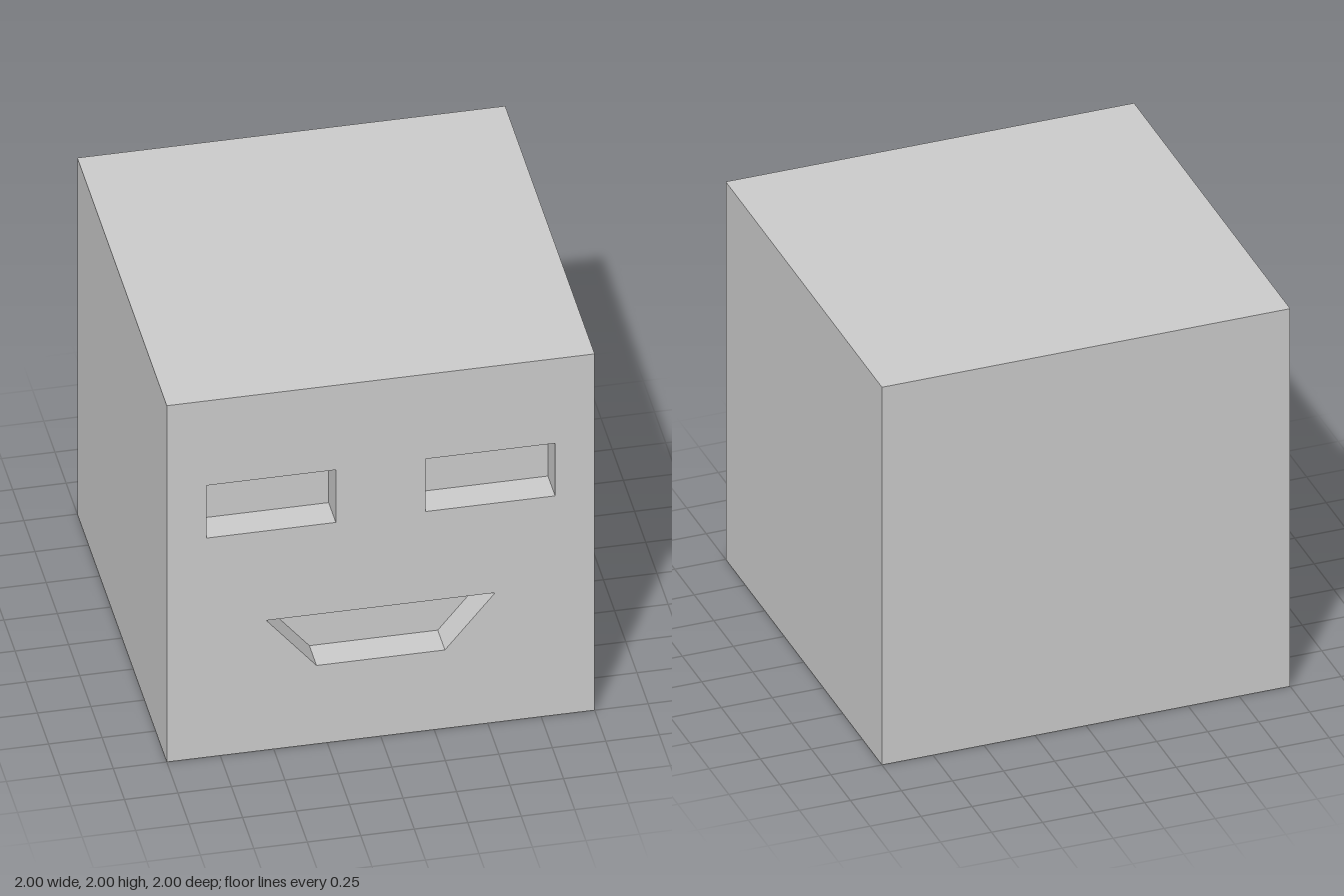
import * as THREE from 'three';

const FRONT = 1;
const DEPTH = 0.16;

// Outlines of the recesses, counter-clockwise from the front
const eye = (x0, x1) => [[x0, 1.23], [x1, 1.23], [x1, 1.525], [x0, 1.525]];
const recesses = {
  leftEye: eye(0.21, 0.815),
  rightEye: eye(-0.815, -0.21),
  mouth: [[-0.3, 0.44], [0.3, 0.44], [0.535, 0.727], [-0.535, 0.727]],
};

const toPoints = (outline) => outline.map(([x, y]) => new THREE.Vector2(x, y));

// Inward-facing walls around a recess
function wallGeometry(outline) {
  const back = FRONT - DEPTH;
  const positions = [];
  outline.forEach(([ax, ay], i) => {
    const [bx, by] = outline[(i + 1) % outline.length];
    positions.push(ax, ay, FRONT, bx, by, FRONT, bx, by, back);
    positions.push(ax, ay, FRONT, bx, by, back, ax, ay, back);
  });
  const geometry = new THREE.BufferGeometry();
  geometry.setAttribute('position', new THREE.Float32BufferAttribute(positions, 3));
  geometry.computeVertexNormals();
  return geometry;
}

export function createModel() {
  const model = new THREE.Group();
  model.name = 'cubeHead';
  const material = new THREE.MeshStandardMaterial({ color: 0xcccccc });

  const add = (name, geometry, parent = model) => {
    const mesh = new THREE.Mesh(geometry, material);
    mesh.name = name;
    parent.add(mesh);
    return mesh;
  };

  // Head: a cube left open at the front (+z is the fifth side, six indices each)
  const box = new THREE.BoxGeometry(2, 2, 2).translate(0, 1, 0);
  box.setIndex(Array.from(box.index.array).filter((_, i) => i < 24 || i >= 30));
  box.clearGroups();
  add('head', box);

  // Face: front panel with cut-outs for the eyes and mouth
  const panel = new THREE.Shape(toPoints([[-1, 0], [1, 0], [1, 2], [-1, 2]]));
  for (const outline of Object.values(recesses)) {
    panel.holes.push(new THREE.Path(toPoints(outline)));
  }
  add('face', new THREE.ShapeGeometry(panel)).position.z = FRONT;

  // Eyes and mouth: walls and a flat back
  for (const [name, outline] of Object.entries(recesses)) {
    const recess = new THREE.Group();
    recess.name = name;
    add(name + 'Walls', wallGeometry(outline), recess);
    const back = new THREE.ShapeGeometry(new THREE.Shape(toPoints(outline)));
    add(name + 'Back', back, recess).position.z = FRONT - DEPTH;
    model.add(recess);
  }

  return model;
}
